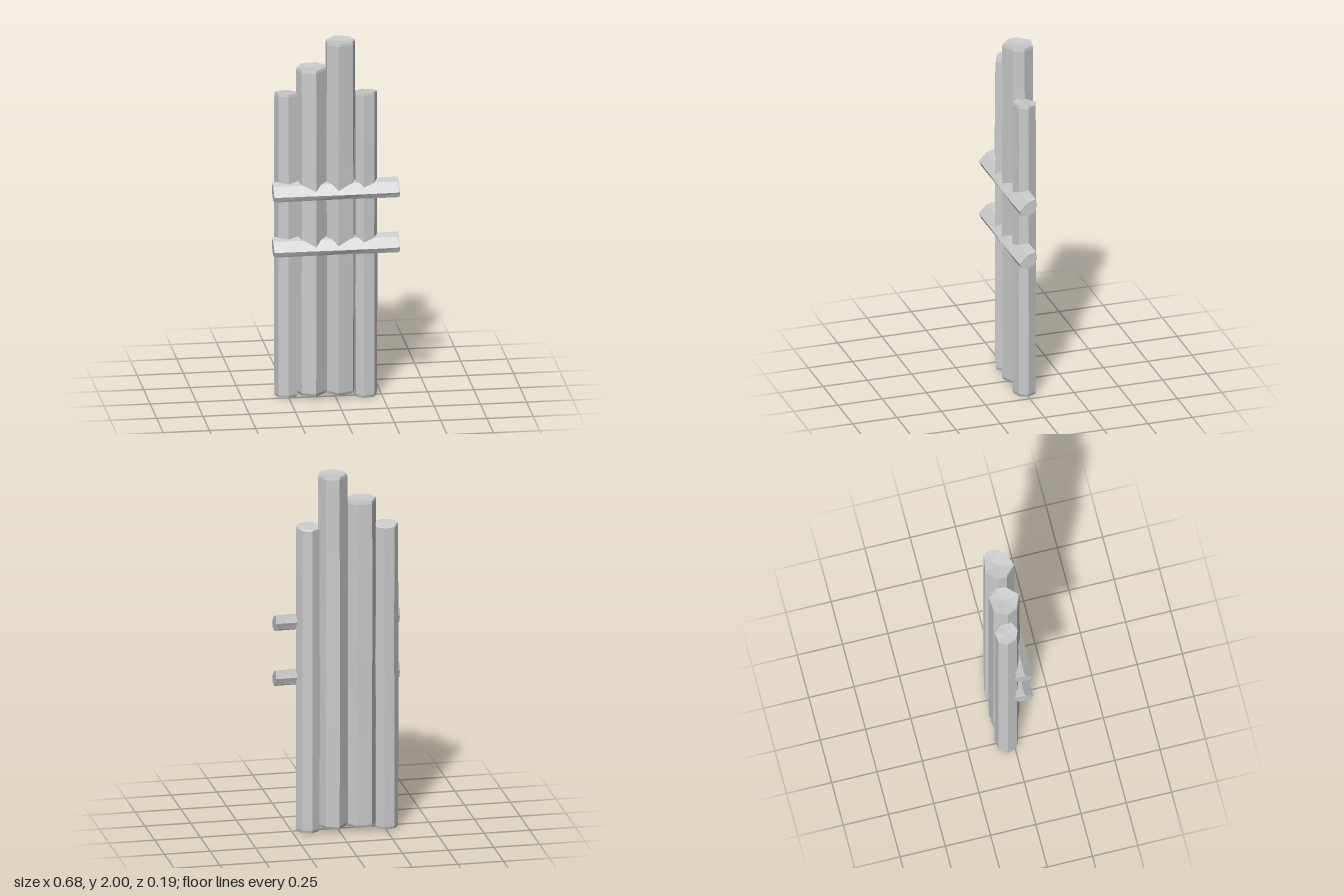
import * as THREE from 'three';

const material = new THREE.MeshStandardMaterial({ color: 0xcccccc, flatShading: true });

// Rough log: an outline of [x, z] corners lofted along y, slightly uneven from ring to ring.
// tilt lowers the back of the top cap; dent sinks its middle.
function logGeometry(outline, y0, y1, { seed = 0, bevel = 0.015, tilt = 0, dent = 0, wobble = 0.025 } = {}) {
  const n = outline.length;
  const cx = outline.reduce((s, p) => s + p[0], 0) / n;
  const cz = outline.reduce((s, p) => s + p[1], 0) / n;
  const height = y1 - y0;
  const levels = [[y0, 0.92], [y0 + bevel, 0.99]];
  for (const t of [0.3, 0.55, 0.78]) levels.push([y0 + height * t, 1]);
  levels.push([y1 - bevel, 0.99], [y1, 0.95]);

  const rings = levels.map(([y, scale], r) => outline.map(([x, z], i) => {
    const k = scale - wobble * (0.5 + 0.5 * Math.sin(seed * 2.3 + i * 2.1 + Math.min(r, 5) * 1.7));
    const drop = r === levels.length - 1 && z < cz - 0.02 ? tilt : 0;
    return [cx + (x - cx) * k, y - drop, cz + (z - cz) * k];
  }));

  const positions = [];
  const face = (...corners) => corners.forEach((p) => positions.push(...p));
  for (let r = 0; r < rings.length - 1; r++) {
    for (let i = 0; i < n; i++) {
      const j = (i + 1) % n;
      const a = rings[r][i], b = rings[r][j], c = rings[r + 1][j], d = rings[r + 1][i];
      face(a, d, c);
      face(a, c, b);
    }
  }
  // End caps
  const top = rings[rings.length - 1];
  for (let i = 0; i < n; i++) {
    const j = (i + 1) % n;
    face([cx, y0, cz], rings[0][i], rings[0][j]);
    face([cx, y1 - dent, cz], top[j], top[i]);
  }
  const geometry = new THREE.BufferGeometry();
  geometry.setAttribute('position', new THREE.Float32BufferAttribute(positions, 3));
  geometry.computeVertexNormals();
  return geometry;
}

// Upright logs: seven-sided outlines, from the model's right to its left
const uprights = [
  { name: 'outerLogRight', y0: 0.005, y1: 1.715, tilt: 0.012, dent: 0.004, outline: [
    [-0.325, -0.045], [-0.293, -0.09], [-0.237, -0.098], [-0.197, -0.06], [-0.204, 0.005], [-0.255, 0.029], [-0.308, 0.009]] },
  { name: 'innerLogRight', y0: 0.022, y1: 1.855, tilt: 0, dent: 0.008, outline: [
    [-0.21, -0.015], [-0.173, -0.088], [-0.09, -0.095], [-0.047, -0.046], [-0.049, 0.013], [-0.112, 0.075], [-0.187, 0.041]] },
  { name: 'innerLogLeft', y0: 0.022, y1: 2.0, tilt: 0, dent: 0.008, outline: [
    [-0.051, -0.027], [0.006, -0.093], [0.08, -0.077], [0.112, -0.018], [0.093, 0.041], [0.008, 0.077], [-0.049, 0.02]] },
  { name: 'outerLogLeft', y0: 0, y1: 1.715, tilt: 0.012, dent: 0.004, outline: [
    [0.103, -0.033], [0.149, -0.065], [0.202, -0.051], [0.228, 0], [0.206, 0.047], [0.147, 0.065], [0.107, 0.03]] },
];

// Crossbar cross-section as [-height, depth], before it is laid on its side
const barOutline = [
  [-0.038, 0.045], [-0.052, -0.004], [-0.005, -0.013], [0.035, 0.002],
  [0.051, 0.04], [0.042, 0.078], [0.012, 0.094]];

export function createModel() {
  const group = new THREE.Group();
  group.name = 'logPalisade';

  uprights.forEach(({ name, outline, y0, y1, tilt, dent }, seed) => {
    const log = new THREE.Mesh(logGeometry(outline, y0, y1, { seed, tilt, dent }), material);
    log.name = name;
    group.add(log);
  });

  // Two crossbars along the front
  const barGeometry = logGeometry(barOutline, -0.34, 0.338, { seed: 5, bevel: 0.004, wobble: 0.06 });
  [['lowerCrossbar', 0.86], ['upperCrossbar', 1.17]].forEach(([name, y]) => {
    const bar = new THREE.Mesh(barGeometry, material);
    bar.name = name;
    bar.rotation.z = -Math.PI / 2;
    bar.position.y = y;
    group.add(bar);
  });
  return group;
}
